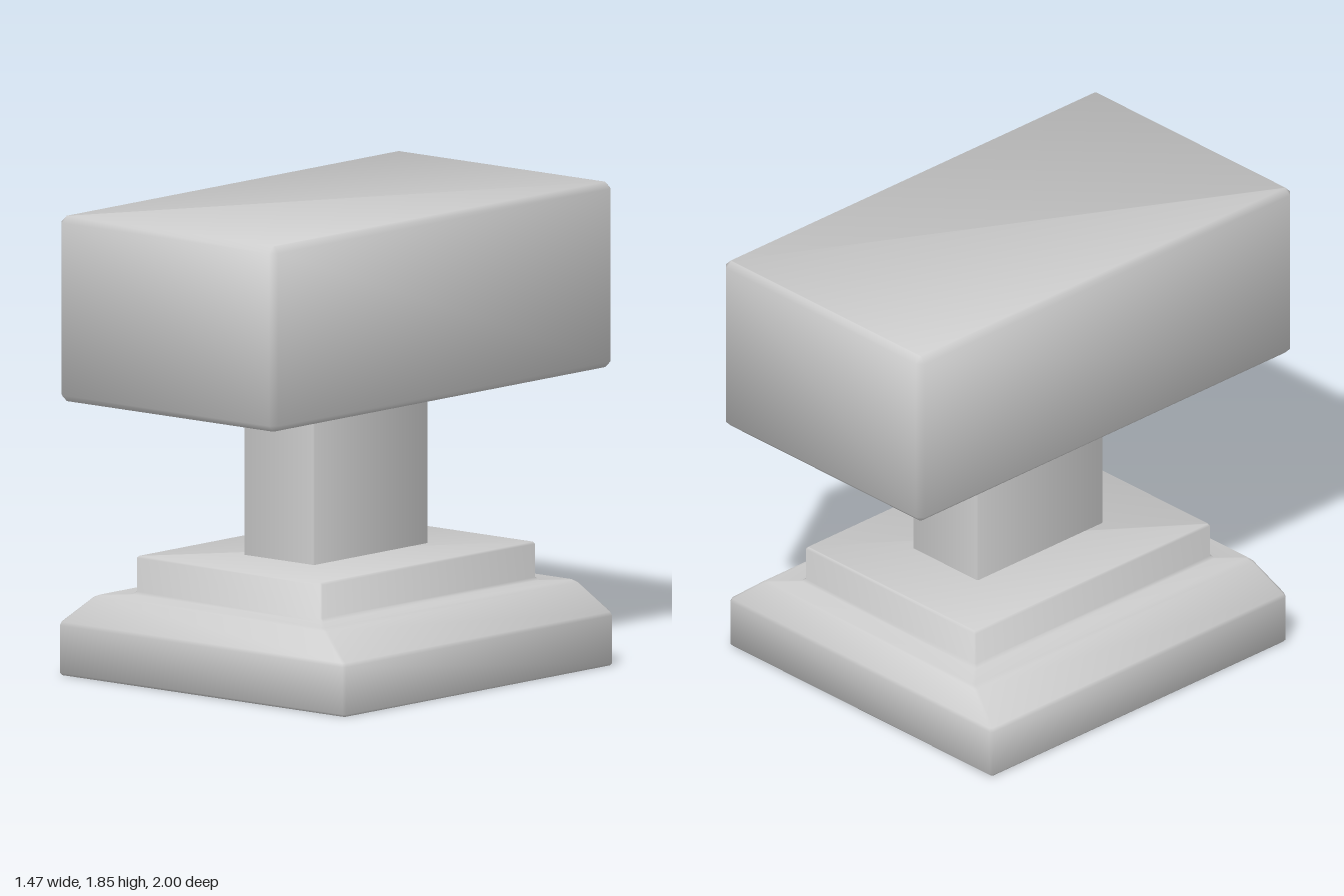
import * as THREE from 'three';

// Rectangle outline with clipped corners, half sizes hx and hz
function outline([y, hx, hz, c]) {
  return [
    [hx, hz - c], [hx - c, hz], [-hx + c, hz], [-hx, hz - c],
    [-hx, -hz + c], [-hx + c, -hz], [hx - c, -hz], [hx, -hz + c],
  ].map(([x, z]) => new THREE.Vector3(x, y, z));
}

// Skin a stack of outlines [y, hx, hz, corner]; every face counts equally in the soft normals
function loft(name, sections, material, capped = true) {
  const n = 8;
  const points = sections.flatMap(outline);
  const faces = [];
  for (let i = 0; i < sections.length - 1; i++) {
    for (let j = 0; j < n; j++) {
      const a = i * n + j, b = i * n + (j + 1) % n;
      faces.push([a, a + n, b + n, b]);
    }
  }
  if (capped) {
    const ring = [...Array(n).keys()];
    faces.push(ring, ring.map((j) => points.length - 1 - j));
  }

  const normals = points.map(() => new THREE.Vector3());
  const index = [];
  for (const f of faces) {
    const normal = new THREE.Vector3();
    for (let k = 1; k < f.length - 1; k++) {
      const [p, q, r] = [f[0], f[k], f[k + 1]].map((v) => points[v]);
      normal.add(q.clone().sub(p).cross(r.clone().sub(p)));
      index.push(f[0], f[k], f[k + 1]);
    }
    normal.normalize();
    f.forEach((v) => normals[v].add(normal));
  }

  const flat = (list) => new THREE.Float32BufferAttribute(list.flatMap((v) => v.toArray()), 3);
  const geometry = new THREE.BufferGeometry();
  geometry.setAttribute('position', flat(points));
  geometry.setAttribute('normal', flat(normals.map((v) => v.normalize())));
  geometry.setIndex(index);
  const mesh = new THREE.Mesh(geometry, material);
  mesh.name = name;
  return mesh;
}

export function createModel() {
  const group = new THREE.Group();
  group.name = 'pedestalBlock';
  const grey = new THREE.MeshStandardMaterial({ color: 0xcccccc });

  // Foot with sloped shoulders, a ledge and a smaller raised step
  group.add(loft('base', [
    [0, 0.725, 0.78, 0.004],
    [0.01, 0.733, 0.79, 0.01],
    [0.195, 0.733, 0.79, 0.01],
    [0.21, 0.726, 0.786, 0.01],
    [0.315, 0.598, 0.745, 0.01],
    [0.325, 0.575, 0.735, 0.01],
    [0.325, 0.487, 0.64, 0.006],
    [0.337, 0.475, 0.63, 0.006],
    [0.467, 0.475, 0.63, 0.006],
    [0.475, 0.467, 0.622, 0.004],
  ], grey));

  // Plain rectangular post
  group.add(loft('column', [
    [0.47, 0.18, 0.335, 0.004],
    [1.125, 0.18, 0.335, 0.004],
  ], grey, false));

  // Heavy block with bevelled edges
  group.add(loft('head', [
    [1.12, 0.53, 0.975, 0.003],
    [1.145, 0.555, 1, 0.025],
    [1.82, 0.555, 1, 0.025],
    [1.845, 0.53, 0.975, 0.003],
  ], grey));

  return group;
}
